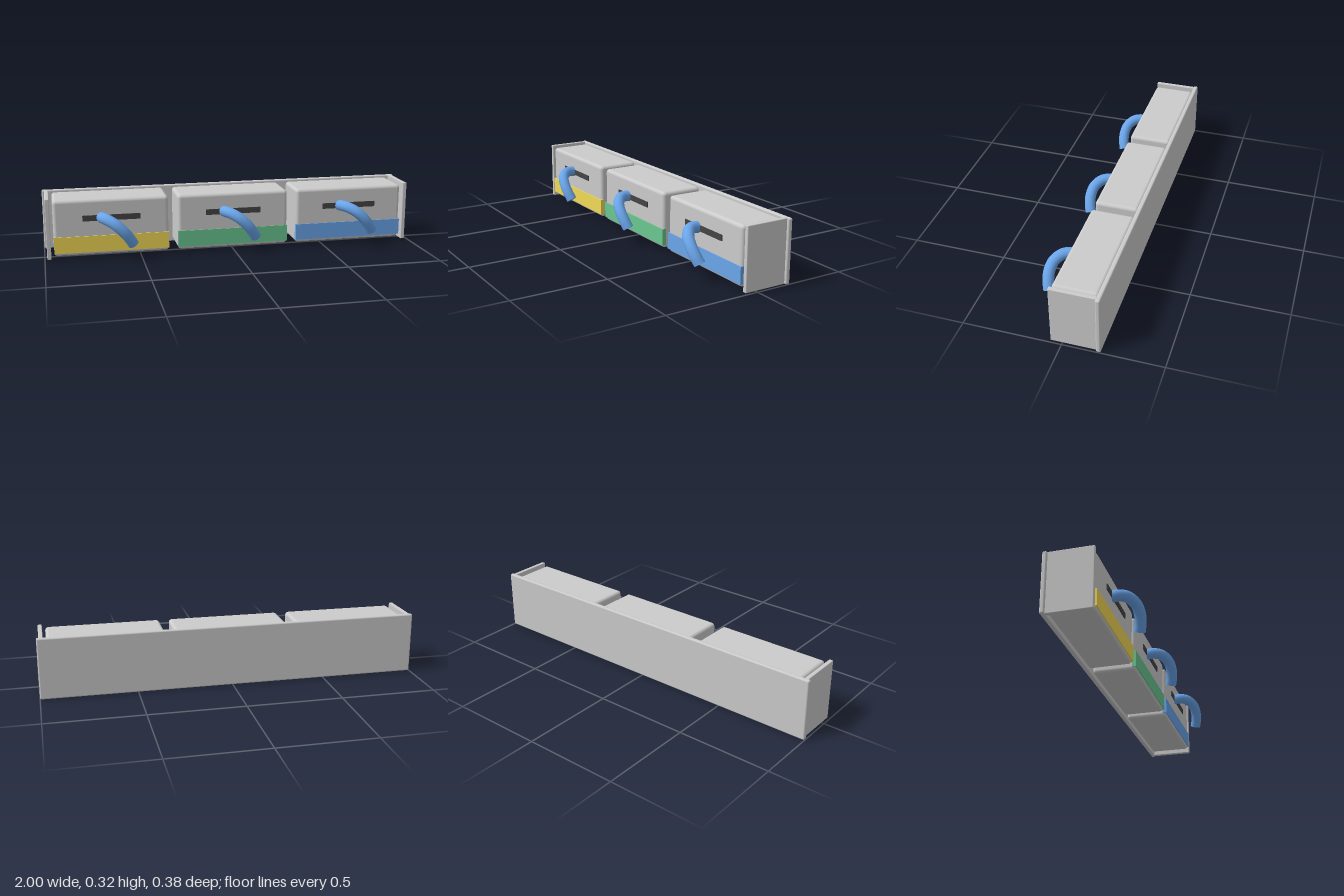
import * as THREE from 'three';
import { RoundedBoxGeometry } from 'three/addons/geometries/RoundedBoxGeometry.js';

const paint = (color) => new THREE.MeshStandardMaterial({ color });

// Box given by its minimum and maximum corners; r > 0 rounds the edges
function block(name, min, max, material, r = 0) {
  const size = max.map((v, i) => v - min[i]);
  const geometry = r > 0 ? new RoundedBoxGeometry(...size, 3, r) : new THREE.BoxGeometry(...size);
  const mesh = new THREE.Mesh(geometry, material);
  mesh.name = name;
  mesh.position.set(...max.map((v, i) => (v + min[i]) / 2));
  return mesh;
}

// Bent round hook that leaves the slot, curls sideways and drops down
function createHook(material) {
  const radius = 0.029;
  const curve = new THREE.CatmullRomCurve3([
    [-0.05, 0.214, 0.045],
    [-0.046, 0.219, 0.085],
    [-0.026, 0.217, 0.122],
    [0.012, 0.197, 0.153],
    [0.05, 0.163, 0.163],
    [0.08, 0.125, 0.159],
    [0.102, 0.088, 0.148],
  ].map((p) => new THREE.Vector3(...p)));
  const hook = new THREE.Group();
  hook.name = 'hook';
  const rod = new THREE.Mesh(new THREE.TubeGeometry(curve, 32, radius, 20), material);
  rod.name = 'hookRod';
  const cap = new THREE.Mesh(new THREE.CircleGeometry(radius, 20), material);
  cap.name = 'hookEnd';
  cap.position.copy(curve.getPoint(1));
  cap.quaternion.setFromUnitVectors(new THREE.Vector3(0, 0, 1), curve.getTangent(1));
  hook.add(rod, cap);
  return hook;
}

export function createModel() {
  const model = new THREE.Group();
  model.name = 'hookRack';
  const grey = paint(0xcccccc);
  const dark = paint(0x444444);
  const blue = paint(0x6aa5ea);

  // Backboard and the two end panels
  model.add(block('backPanel', [-1, 0.002, -0.191], [1, 0.325, -0.167], grey, 0.008));
  for (const [name, x] of [['rightEndPanel', -0.977], ['leftEndPanel', 0.977]]) {
    model.add(block(name, [x - 0.011, 0.003, -0.172], [x + 0.011, 0.325, 0.059], grey, 0.004));
  }

  // Three identical units that differ only in band colour
  [0xf2d957, 0x6ac791, 0x6aa5ea].forEach((color, i) => {
    const unit = new THREE.Group();
    unit.name = `hookUnit${i + 1}`;
    unit.position.x = (i - 1) * 0.65;
    unit.add(
      block('housing', [-0.3, 0.017, -0.17], [0.3, 0.314, 0.057], grey, 0.018),
      block('colourBand', [-0.3, 0.033, 0.04], [0.3, 0.12, 0.062], paint(color)),
      block('slot', [-0.15, 0.2, 0.05], [0.15, 0.23, 0.0615], dark),
      createHook(blue),
    );
    model.add(unit);
  });
  return model;
}
